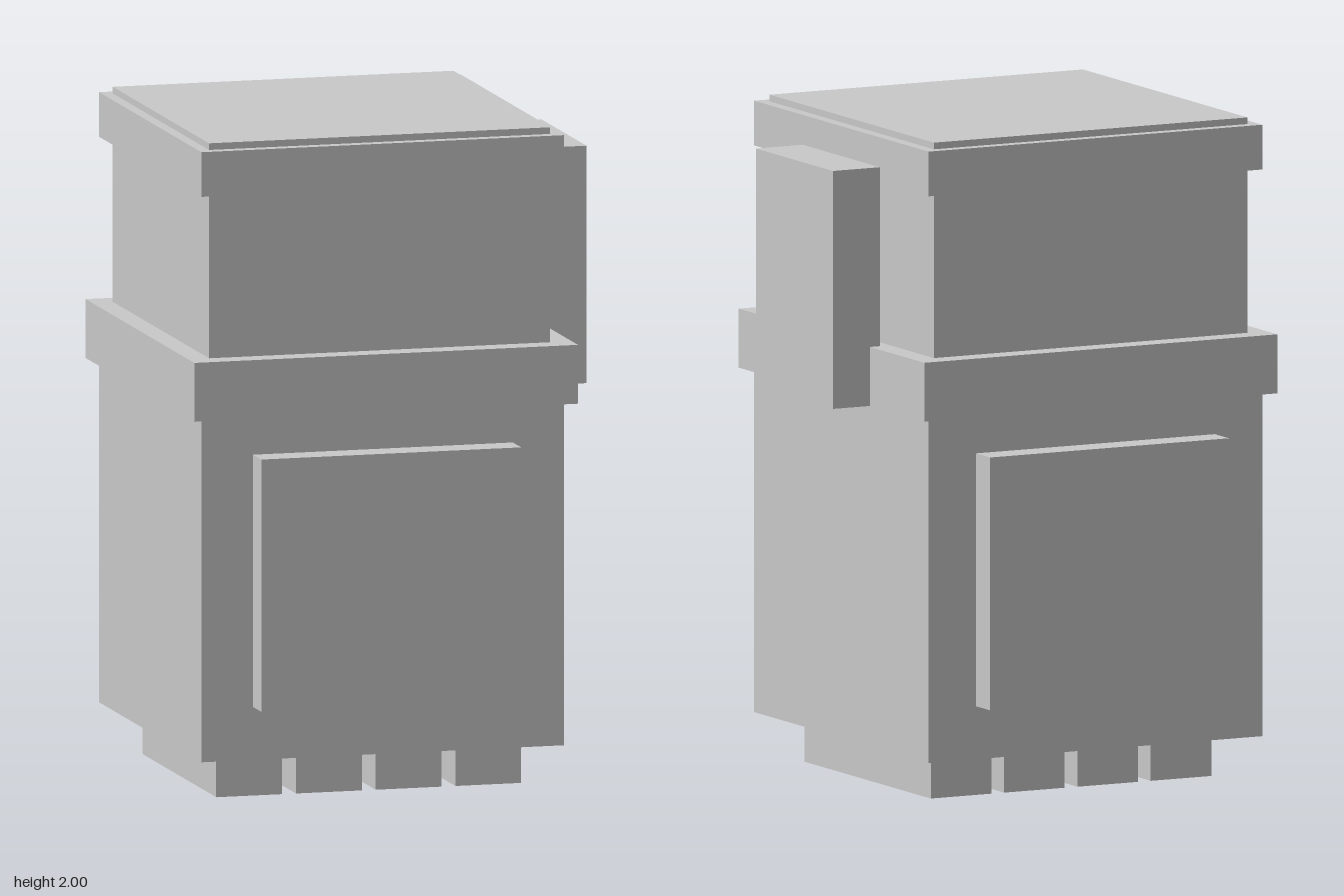
import * as THREE from 'three';

export function createModel() {
  const model = new THREE.Group();
  model.name = 'boxTower';
  const grey = new THREE.MeshStandardMaterial({ color: 0xc8c8c8 });
  grey.name = 'light grey';

  // Box given by its extents along each axis
  function block(name, [x0, x1], [y0, y1], [z0, z1]) {
    const mesh = new THREE.Mesh(new THREE.BoxGeometry(x1 - x0, y1 - y0, z1 - z0), grey);
    mesh.position.set((x0 + x1) / 2, (y0 + y1) / 2, (z0 + z1) / 2);
    mesh.name = name;
    model.add(mesh);
  }

  // Stacked body, from the bottom up
  block('lowerBody', [-0.625, 0.499], [0.135, 1.172], [-0.56, 0.56]);
  block('collar', [-0.657, 0.532], [1.172, 1.35], [-0.595, 0.595]);
  block('upperBody', [-0.592, 0.464], [1.35, 1.845], [-0.527, 0.527]);
  block('capRim', [-0.625, 0.499], [1.845, 1.98], [-0.56, 0.56]);
  block('capTop', [-0.592, 0.464], [1.98, 2], [-0.527, 0.527]);

  // Upright block on the left side
  block('sideBlock', [0.499, 0.657], [1.172, 1.89], [-0.247, 0.247]);

  // Raised panels, front and back
  block('frontPanel', [-0.465, 0.34], [0.295, 1.058], [0.56, 0.651]);
  block('backPanel', [-0.465, 0.34], [0.295, 1.058], [-0.651, -0.56]);

  // Four parallel runners underneath
  for (let i = 0; i < 4; i++) {
    const x = -0.535 + i * 0.247;
    block('runner' + (i + 1), [x, x + 0.204], [0, 0.135], [-0.404, 0.404]);
  }
  return model;
}
